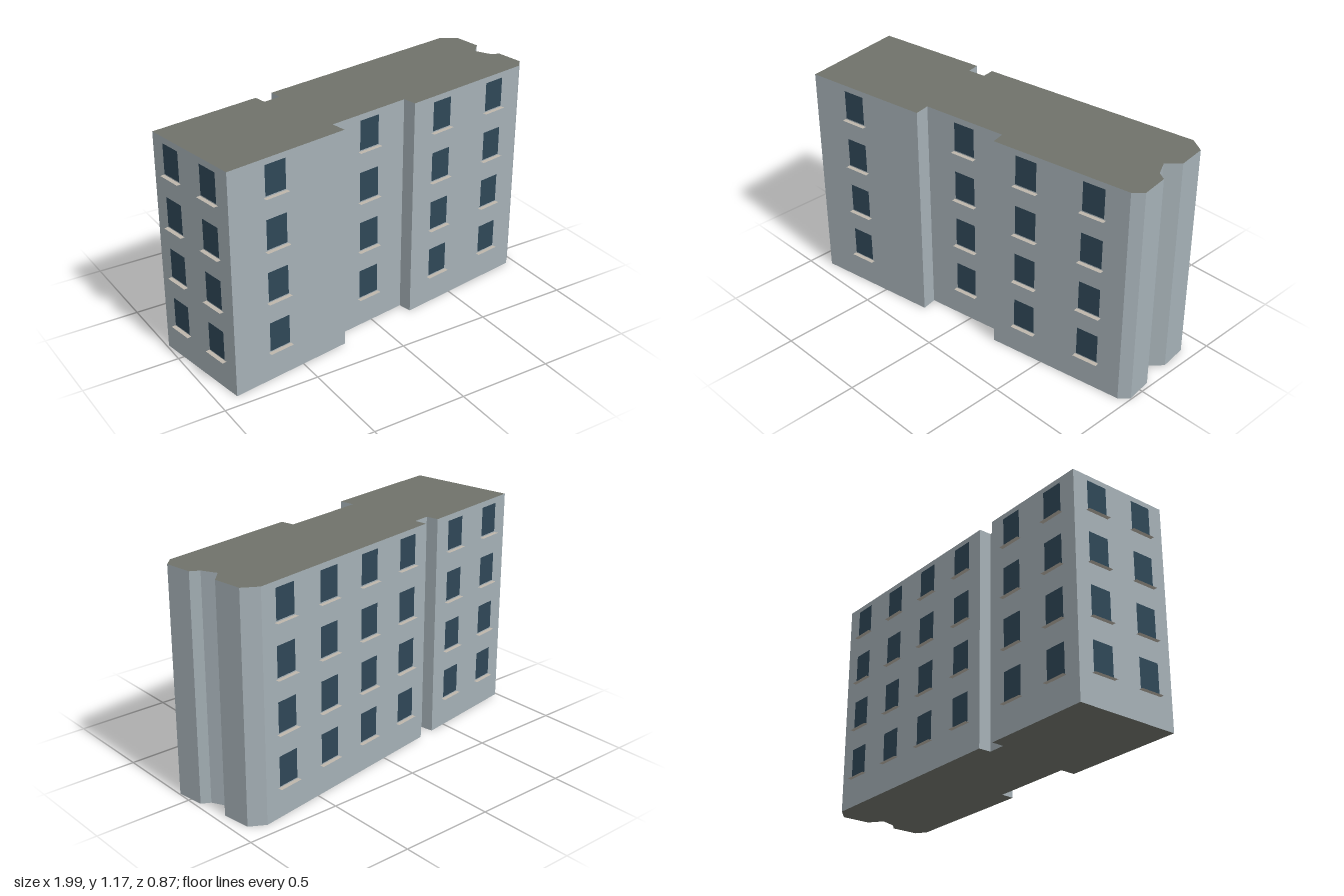
import * as THREE from 'three';

const HEIGHT = 1.175;

// Floor plan as [x, z], starting at the back left corner and running along the back
const PLAN = [
  [-0.99, -0.13], [-0.4, -0.225], [-0.388, -0.16], [-0.295, -0.175], [-0.305, -0.24],
  [0.85, -0.427], [0.93, -0.38], [0.95, -0.23], [0.89, -0.165], [0.93, -0.09],
  [0.975, -0.065], [0.995, 0.078], [0.95, 0.125], [0.215, 0.245], [0.2, 0.175],
  [-0.25, 0.245], [-0.235, 0.325], [-0.9, 0.43],
];

// Walls with windows: index of the starting corner, and window positions along the wall (0 to 1)
const FACADES = [
  { name: 'backLeftWindows', start: 0, at: [0.25, 0.75] },
  { name: 'backRightWindows', start: 4, at: [0.125, 0.375, 0.625, 0.875] },
  { name: 'frontRightWindows', start: 12, at: [0.25, 0.75] },
  { name: 'frontMiddleWindows', start: 14, at: [0.5] },
  { name: 'frontLeftWindows', start: 16, at: [0.61] },
  { name: 'endWindows', start: 17, at: [0.25, 0.75] },
];

const FLOORS = 4, FLOOR_STEP = 0.275, FIRST_SILL = 0.165;
const WINDOW_W = 0.118, WINDOW_H = 0.155, SILL_W = 0.135, SILL_D = 0.022;

export function createModel() {
  const model = new THREE.Group();
  model.name = 'apartmentBlock';

  const wallMat = new THREE.MeshStandardMaterial({ color: 0xa5b0b6 });
  const roofMat = new THREE.MeshStandardMaterial({ color: 0x70726a });
  const glassMat = new THREE.MeshStandardMaterial({ color: 0x2f4757 });
  const sillMat = new THREE.MeshStandardMaterial({ color: 0xbdb6ab, side: THREE.DoubleSide });

  // Body: the plan extruded upwards, with roof and floor in a darker tone
  const shape = new THREE.Shape(PLAN.map(([x, z]) => new THREE.Vector2(x, -z)));
  const bodyGeo = new THREE.ExtrudeGeometry(shape, { depth: HEIGHT, bevelEnabled: false });
  bodyGeo.rotateX(-Math.PI / 2);
  const body = new THREE.Mesh(bodyGeo, [roofMat, wallMat]);
  body.name = 'wallsAndRoof';
  model.add(body);

  // Window pane and thin sill, both facing +z with the origin at the pane's bottom centre
  const paneGeo = new THREE.PlaneGeometry(WINDOW_W, WINDOW_H).translate(0, WINDOW_H / 2, 0.003);
  const sillGeo = new THREE.PlaneGeometry(SILL_W, SILL_D)
    .rotateX(-Math.PI / 2).translate(0, -0.008, SILL_D / 2);

  for (const { name, start, at } of FACADES) {
    const [ax, az] = PLAN[start];
    const [bx, bz] = PLAN[(start + 1) % PLAN.length];
    const facade = new THREE.Group();
    facade.name = name;
    for (const t of at) {
      for (let floor = 0; floor < FLOORS; floor++) {
        const unit = new THREE.Group();
        unit.name = 'window';
        const pane = new THREE.Mesh(paneGeo, glassMat);
        pane.name = 'windowPane';
        const sill = new THREE.Mesh(sillGeo, sillMat);
        sill.name = 'windowSill';
        unit.add(pane, sill);
        unit.position.set(ax + (bx - ax) * t, FIRST_SILL + floor * FLOOR_STEP, az + (bz - az) * t);
        unit.rotation.y = Math.atan2(bz - az, ax - bx); // face along the outward normal
        facade.add(unit);
      }
    }
    model.add(facade);
  }
  return model;
}
